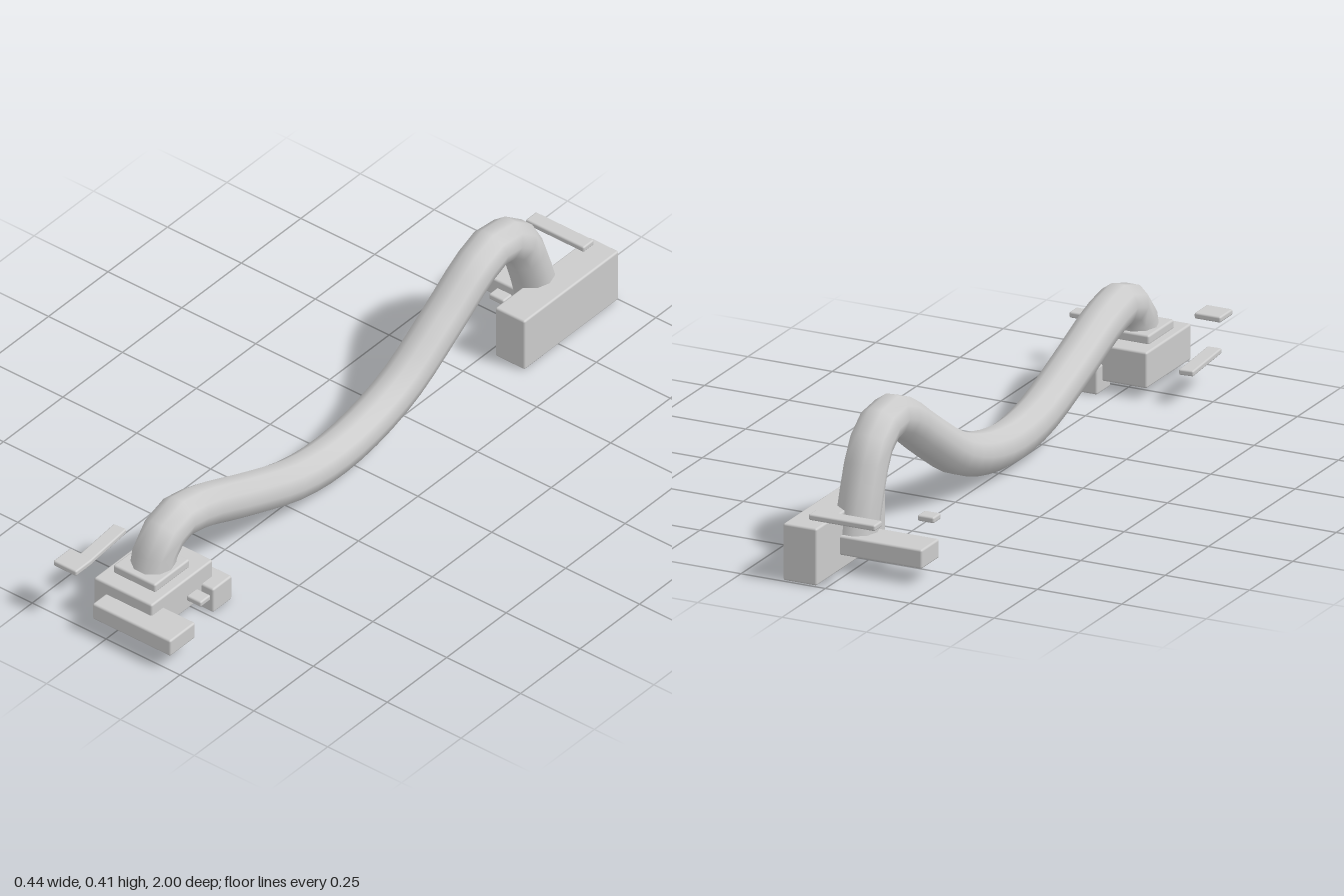
import * as THREE from 'three';
import { RoundedBoxGeometry } from 'three/addons/geometries/RoundedBoxGeometry.js';

const material = new THREE.MeshStandardMaterial({ color: 0xcccccc });

// Bevelled block spanning the given [min, max] ranges, optionally turned about y.
function block(name, [x0, x1], [y0, y1], [z0, z1], turn = 0) {
  const size = [x1 - x0, y1 - y0, z1 - z0];
  const bevel = Math.min(0.006, Math.min(...size) * 0.3);
  const mesh = new THREE.Mesh(new RoundedBoxGeometry(...size, 2, bevel), material);
  mesh.name = name;
  mesh.position.set((x0 + x1) / 2, (y0 + y1) / 2, (z0 + z1) / 2);
  mesh.rotation.y = turn;
  return mesh;
}

// Ten-sided smooth hose running front to back with two humps and a sag.
function hose() {
  const path = [
    [0.12, 0.825], [0.2, 0.8], [0.243, 0.73], [0.23, 0.64], [0.15, 0.43], [0.085, 0.24],
    [0.066, 0.09], [0.08, -0.06], [0.13, -0.22], [0.24, -0.4], [0.335, -0.545],
    [0.359, -0.63], [0.315, -0.71], [0.19, -0.768], [0.085, -0.798],
  ].map(([y, z]) => new THREE.Vector3(0.012, y, z));
  const curve = new THREE.CatmullRomCurve3(path, false, 'centripetal');
  const tubeMaterial = material.clone();
  tubeMaterial.side = THREE.DoubleSide;
  const mesh = new THREE.Mesh(new THREE.TubeGeometry(curve, 32, 0.06, 10), tubeMaterial);
  mesh.name = 'hose';
  return mesh;
}

export function createModel() {
  const model = new THREE.Group();
  model.name = 'brokenPipe';

  // Front fitting and the debris around it
  const front = new THREE.Group();
  front.name = 'frontFitting';
  front.add(
    block('frontBase', [-0.086, 0.11], [0.032, 0.133], [0.687, 0.945]),
    block('frontCollar', [-0.061, 0.081], [0.13, 0.157], [0.748, 0.895]),
    block('frontSlab', [-0.047, 0.217], [0.047, 0.098], [0.893, 1.0]),
    block('sideBlock', [0.045, 0.149], [0.003, 0.08], [0.655, 0.735]),
    block('leftChip', [0.169, 0.218], [0.135, 0.152], [0.83, 0.873]),
    block('rightChip', [-0.183, -0.105], [0.156, 0.173], [0.923, 0.996]),
    block('rightSplinter', [-0.212, -0.17], [0.085, 0.101], [0.693, 0.89], 0.08),
  );

  // Rear fitting and the debris around it
  const rear = new THREE.Group();
  rear.name = 'rearFitting';
  rear.add(
    block('rearBase', [0.026, 0.126], [0.005, 0.165], [-1.0, -0.602]),
    block('rearArm', [-0.216, 0.04], [0.048, 0.102], [-0.864, -0.762]),
    block('rearBar', [-0.131, 0.066], [0.174, 0.191], [-0.97, -0.925]),
    block('rearChip', [-0.167, -0.118], [0.115, 0.132], [-0.7, -0.657]),
    block('rearStub', [-0.097, -0.046], [0.06, 0.078], [-0.772, -0.728]),
  );

  model.add(hose(), front, rear);
  return model;
}
